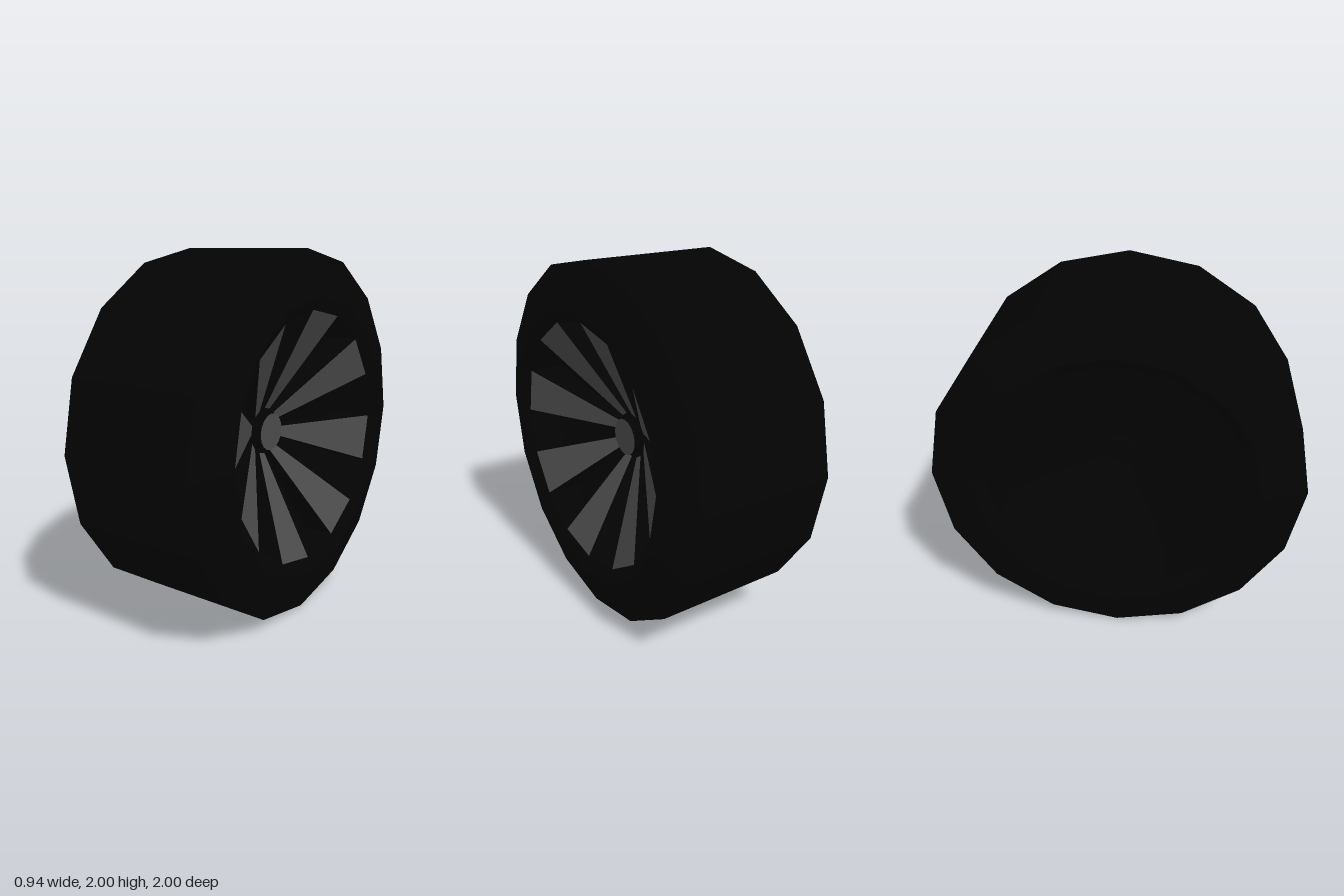
import * as THREE from 'three';

const SIDES = 16;

const makeMaterial = (color) => new THREE.MeshStandardMaterial({ color, flatShading: true });

// Revolves [radius, x] points around the x axis
function revolve(name, profile, material) {
  const points = profile.map(([r, x]) => new THREE.Vector2(r, x));
  const geometry = new THREE.LatheGeometry(points, SIDES).rotateZ(-Math.PI / 2);
  const mesh = new THREE.Mesh(geometry, material);
  mesh.name = name;
  return mesh;
}

// Turns quads (four corners, counterclockwise) into a flat-shaded mesh
function quadMesh(name, quads, material) {
  const positions = quads.flatMap(([a, b, c, d]) => [a, b, c, a, c, d].flat());
  const geometry = new THREE.BufferGeometry();
  geometry.setAttribute('position', new THREE.Float32BufferAttribute(positions, 3));
  geometry.computeVertexNormals();
  const mesh = new THREE.Mesh(geometry, material);
  mesh.name = name;
  return mesh;
}

// Solid wedge standing on the dished disc, with a light front face
function makeSpoke(start, faceMaterial, wallMaterial) {
  const end = start + (Math.PI * 2) / SIDES;
  const corner = (r, x, a) => [x, r * Math.cos(a), -r * Math.sin(a)];
  const wedge = (innerX, outerX) => [
    corner(0.13, innerX, start), corner(0.13, innerX, end),
    corner(0.69, outerX, end), corner(0.69, outerX, start),
  ];
  const front = wedge(0.13, 0.43);
  const base = wedge(0.07, 0.23);
  const walls = front.map((_, i) => {
    const j = (i + 1) % 4;
    return [base[i], base[j], front[j], front[i]];
  });
  const spoke = new THREE.Group();
  spoke.name = 'spoke';
  spoke.add(quadMesh('spokeFace', [front], faceMaterial), quadMesh('spokeWalls', walls, wallMaterial));
  return spoke;
}

export function createModel() {
  const rubber = makeMaterial(0x030303);
  const darkMetal = makeMaterial(0x030303);
  const lightMetal = makeMaterial(0x4b4b4b);

  const wheel = new THREE.Group();
  wheel.name = 'wheel';
  wheel.position.y = 1;

  // Tyre with sloping shoulders
  wheel.add(revolve('tyre', [[0.76, -0.47], [1, -0.39], [1, 0.39], [0.76, 0.47]], rubber));

  // Rim: dished back, hidden barrel, front lip and dished front
  wheel.add(revolve('rim', [
    [0, -0.04], [0.69, -0.15], [0.7, -0.43], [0.76, -0.47],
    [0.76, 0.47], [0.69, 0.43], [0.69, 0.24], [0.1, 0.07], [0, 0.07],
  ], darkMetal));

  // Hub through the disc, with a light cap on the outer side
  wheel.add(revolve('hub', [[0, -0.083], [0.075, -0.083], [0.105, 0.04], [0.105, 0.176]], darkMetal));
  wheel.add(revolve('hubCap', [[0.105, 0.176], [0, 0.176]], lightMetal));

  // Eight spokes, one on every other facet
  for (let i = 0; i < 8; i++) {
    wheel.add(makeSpoke((i * Math.PI) / 4, lightMetal, darkMetal));
  }

  const model = new THREE.Group();
  model.add(wheel);
  return model;
}
